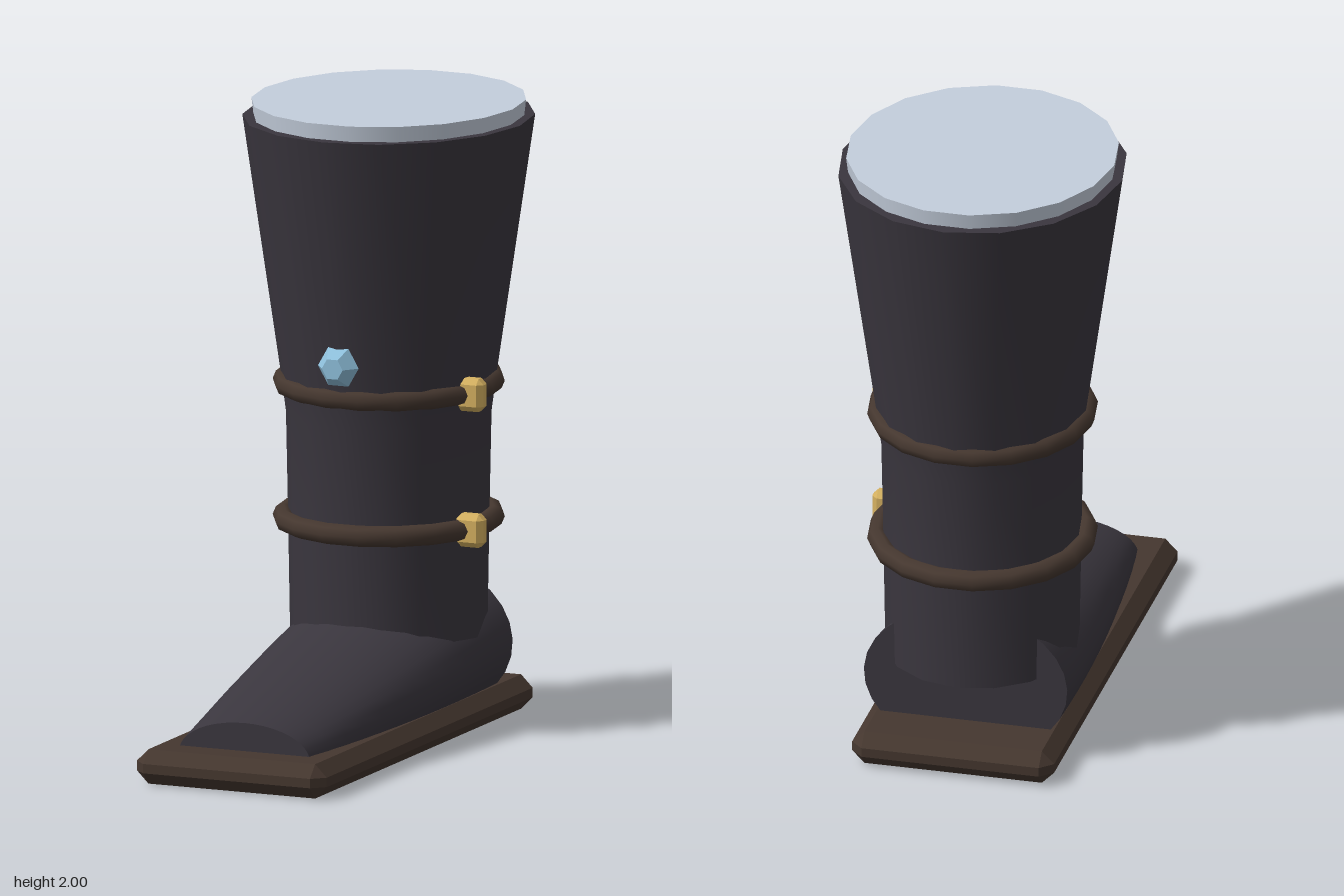
import * as THREE from 'three';
import { toCreasedNormals } from 'three/addons/utils/BufferGeometryUtils.js';
import { ConvexGeometry } from 'three/addons/geometries/ConvexGeometry.js';

const LEG_Z = -0.365; // axis of the shaft
const material = (color, extra = {}) => new THREE.MeshStandardMaterial({ color, ...extra });

const leather = material(0x3a363e);
const brown = material(0x45372f);
const brass = material(0xd4b060);
const crystal = material(0x8fc0dc, { flatShading: true });
const lining = material(0xc4cedc);

function add(parent, name, geometry, mat, x = 0, y = 0, z = 0) {
  const mesh = new THREE.Mesh(geometry, mat);
  mesh.name = name;
  mesh.position.set(x, y, z);
  parent.add(mesh);
  return mesh;
}

// Box with every edge and corner cut by the bevel b
function chamferedBox(w, h, d, b) {
  const points = [];
  const [x, y, z] = [w / 2, h / 2, d / 2];
  for (const sx of [-1, 1]) for (const sy of [-1, 1]) for (const sz of [-1, 1]) {
    points.push(
      new THREE.Vector3(sx * x, sy * (y - b), sz * (z - b)),
      new THREE.Vector3(sx * (x - b), sy * y, sz * (z - b)),
      new THREE.Vector3(sx * (x - b), sy * (y - b), sz * z));
  }
  return new ConvexGeometry(points);
}

// Arched foot: elliptical sections growing from the toe to the heel, cut flat at the sole
function footGeometry() {
  const rows = 12, cols = 20, floor = 0.1;
  const zFront = 0.73, zBack = -0.58;
  const positions = [], index = [];
  for (let i = 0; i <= rows; i++) {
    const u = i / rows;
    const z = THREE.MathUtils.lerp(zFront, zBack, u);
    const a = 0.225 + 0.105 * Math.sin(u * Math.PI / 2);
    const b = 0.105 + 0.145 * u;
    const cy = 0.095 + 0.15 * u;
    const start = Math.asin((floor - cy) / b);
    for (let j = 0; j <= cols; j++) {
      const t = THREE.MathUtils.lerp(start, Math.PI - start, j / cols);
      positions.push(a * Math.cos(t), cy + b * Math.sin(t), z);
    }
  }
  const n = cols + 1;
  for (let i = 0; i < rows; i++) for (let j = 0; j < cols; j++) {
    const p = i * n + j, q = p + n;
    index.push(p, q, p + 1, p + 1, q, q + 1);
  }
  // End caps
  const front = positions.length / 3, back = front + 1, last = rows * n;
  positions.push(0, floor, zFront, 0, floor, zBack);
  for (let j = 0; j < cols; j++) {
    index.push(front, j, j + 1, back, last + j + 1, last + j);
  }
  const geometry = new THREE.BufferGeometry();
  geometry.setAttribute('position', new THREE.Float32BufferAttribute(positions, 3));
  geometry.setIndex(index);
  return toCreasedNormals(geometry, 0.7);
}

export function createModel() {
  const boot = new THREE.Group();
  boot.name = 'boot';

  // Sole and foot
  add(boot, 'sole', chamferedBox(0.655, 0.11, 1.645, 0.04), brown, 0, 0.055, 0.045);
  add(boot, 'foot', footGeometry(), leather);

  // Flared shaft, slightly deeper than wide
  const profile = [[0, 0.28], [0.305, 0.28], [0.312, 0.7], [0.318, 1.0],
    [0.335, 1.13], [0.453, 1.95], [0, 1.95]].map(([r, y]) => new THREE.Vector2(r, y));
  const shaft = add(boot, 'shaft',
    toCreasedNormals(new THREE.LatheGeometry(profile, 16), 0.6), leather, 0, 0, LEG_Z);
  shaft.scale.z = 1.1;

  // Lining showing above the rim
  const liningGeometry = new THREE.CylinderGeometry(0.427, 0.415, 0.1, 18);
  liningGeometry.rotateY(Math.PI / 2);
  add(boot, 'lining', liningGeometry, lining, 0, 1.95, LEG_Z).scale.z = 1.095;

  // Two straps, each with a buckle on the outer side
  for (const y of [0.665, 1.1]) {
    const strapGeometry = new THREE.TorusGeometry(0.328, 0.034, 8, 18);
    strapGeometry.rotateX(Math.PI / 2);
    add(boot, 'strap', strapGeometry, brown, 0, y, LEG_Z).scale.z = 1.07;
    add(boot, 'buckle', chamferedBox(0.095, 0.106, 0.06, 0.018), brass, 0.335, y, -0.255);
  }

  // Six-sided gem on the front
  const gem = new THREE.Group();
  gem.name = 'gem';
  gem.position.set(0, 1.21, 0.018);
  for (const side of [1, -1]) {
    const half = new THREE.CylinderGeometry(0.036, 0.07, 0.047, 6);
    half.translate(0, 0.0235, 0);
    half.rotateY(Math.PI / 2);
    half.rotateX(side * Math.PI / 2);
    add(gem, side > 0 ? 'gemFront' : 'gemBack', half, crystal);
  }
  boot.add(gem);

  return boot;
}
